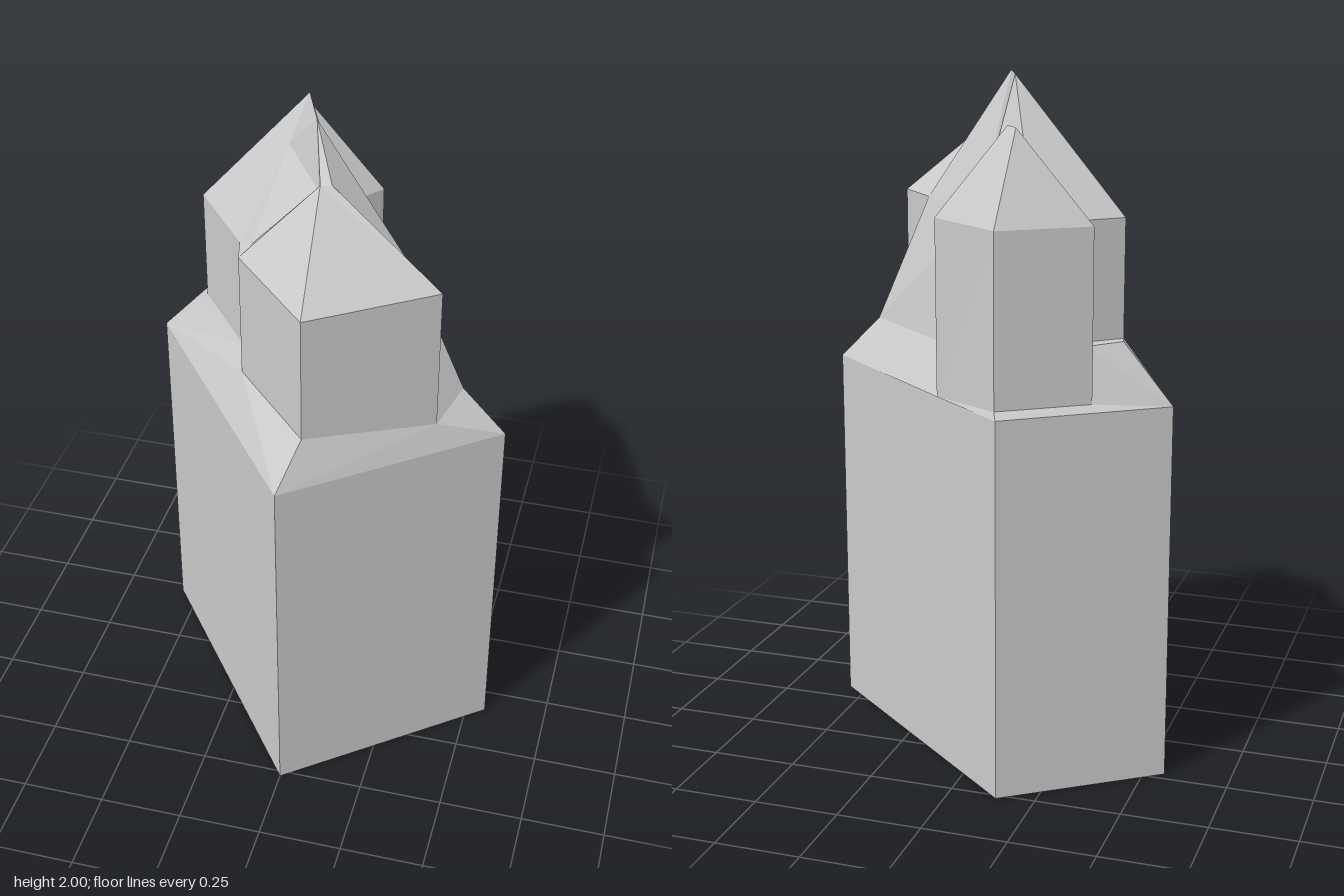
import * as THREE from 'three';

const material = new THREE.MeshStandardMaterial({ color: 0xcccccc, flatShading: true, side: THREE.DoubleSide });

// Corner points, each [x, y, z]
const P = {
  // base rim
  A: [-0.56, 1.11, -0.22], B: [0, 1.11, 0.52], C: [0.56, 1.11, 0.08], D: [-0.14, 1.11, -0.52],
  // front turret: eaves, feet, peak
  f1: [0.05, 1.62, 0.42], f2: [0.38, 1.62, 0.19], f3: [-0.2, 1.62, 0.15],
  f1b: [0.05, 1.24, 0.42], f2b: [0.38, 1.19, 0.19], f3b: [-0.2, 1.24, 0.15],
  fa: [0.03, 1.87, 0.14], fb: [0.06, 1.87, 0.13], g1: [-0.17, 1.65, 0.12], g2: [0.02, 1.84, 0.12],
  // middle body: eaves, feet, ridge
  w1: [-0.4, 1.62, -0.16], w2: [-0.22, 1.62, 0.07], w1b: [-0.4, 1.28, -0.16], w2b: [-0.22, 1.28, 0.07],
  e1: [0.26, 1.62, 0.06], e2: [0.01, 1.62, -0.21], e1b: [0.43, 1.24, 0.07], e2b: [0.06, 1.24, -0.26],
  r1: [-0.01, 2, 0.02], r2: [-0.07, 2, -0.13], k: [-0.11, 1.875, -0.06], v: [-0.12, 1.83, -0.21],
  // back turret: eaves, feet, ridge
  t1: [0.1, 1.62, -0.325], t2: [-0.13, 1.62, -0.5], t3: [-0.36, 1.62, -0.34], t4: [-0.3, 1.62, -0.25],
  t1b: [0.1, 1.11, -0.32], t2b: [-0.13, 1.13, -0.5], t3b: [-0.36, 1.13, -0.34], t4b: [-0.3, 1.28, -0.25],
  s1: [-0.14, 1.875, -0.34], s2: [-0.1, 1.875, -0.29],
  // ledge in the notch
  n0: [-0.33, 1.28, -0.29], n1: [-0.41, 1.28, -0.2],
};

// Builds a faceted mesh from polygons given as corner names
function facets(name, faces) {
  const positions = [];
  for (const face of faces) {
    const c = face.split(' ').map((key) => P[key]);
    for (let i = 1; i < c.length - 1; i++) positions.push(...c[0], ...c[i], ...c[i + 1]);
  }
  const geometry = new THREE.BufferGeometry();
  geometry.setAttribute('position', new THREE.Float32BufferAttribute(positions, 3));
  geometry.computeVertexNormals();
  const mesh = new THREE.Mesh(geometry, material);
  mesh.name = name;
  return mesh;
}

export function createModel() {
  const model = new THREE.Group();
  model.name = 'building';

  // Four-sided base block
  const outline = new THREE.Shape(['A', 'B', 'C', 'D'].map((c) => new THREE.Vector2(P[c][0], -P[c][2])));
  const baseGeometry = new THREE.ExtrudeGeometry(outline, { depth: 1.11, bevelEnabled: false });
  baseGeometry.rotateX(-Math.PI / 2);
  const base = new THREE.Mesh(baseGeometry, material);
  base.name = 'base';
  model.add(base);

  // Sloping skirt between the base rim and the upper walls
  model.add(facets('skirt', [
    'A w2b w1b', 'A B f3b w2b', 'B f1b f3b', 'B C f2b f1b', 'C e1b f2b', 'C t1b e2b e1b',
    'A w1b n1', 'A n1 n0 t3b', 'n1 w1b t4b n0', 'A t3b D', 'D t3b t2b', 'D t2b t1b',
  ]));

  // Upper walls, running around the outline
  const ring = ['w1', 'w2', 'f3', 'f1', 'f2', 'e1', 'e2', 't1', 't2', 't3', 't4'];
  model.add(facets('upperWalls', ring.map((a, i) => {
    const b = ring[(i + 1) % ring.length];
    return `${a}b ${b}b ${b} ${a}`;
  })));

  // Roofs
  model.add(facets('frontTurretRoof', ['f3 f1 fa', 'fa f1 f2 fb', 'fb f2 e1', 'g1 f3 fa g2', 'w2 f3 g1']));
  model.add(facets('mainRoof', [
    'w1 w2 k', 'w1 k r2', 'k r1 r2', 'k w2 g1', 'k g1 g2 r1', 'r1 g2 fa fb',
    'r1 fb e1', 'r1 e1 e2', 'r2 r1 e2', 'v r2 e2', 'w1 r2 v t4',
  ]));
  model.add(facets('backTurretRoof', ['t3 t4 v s2 s1', 's2 v e2', 's2 e2 t1', 's1 s2 t1', 's1 t1 t2', 't3 s1 t2']));

  return model;
}
